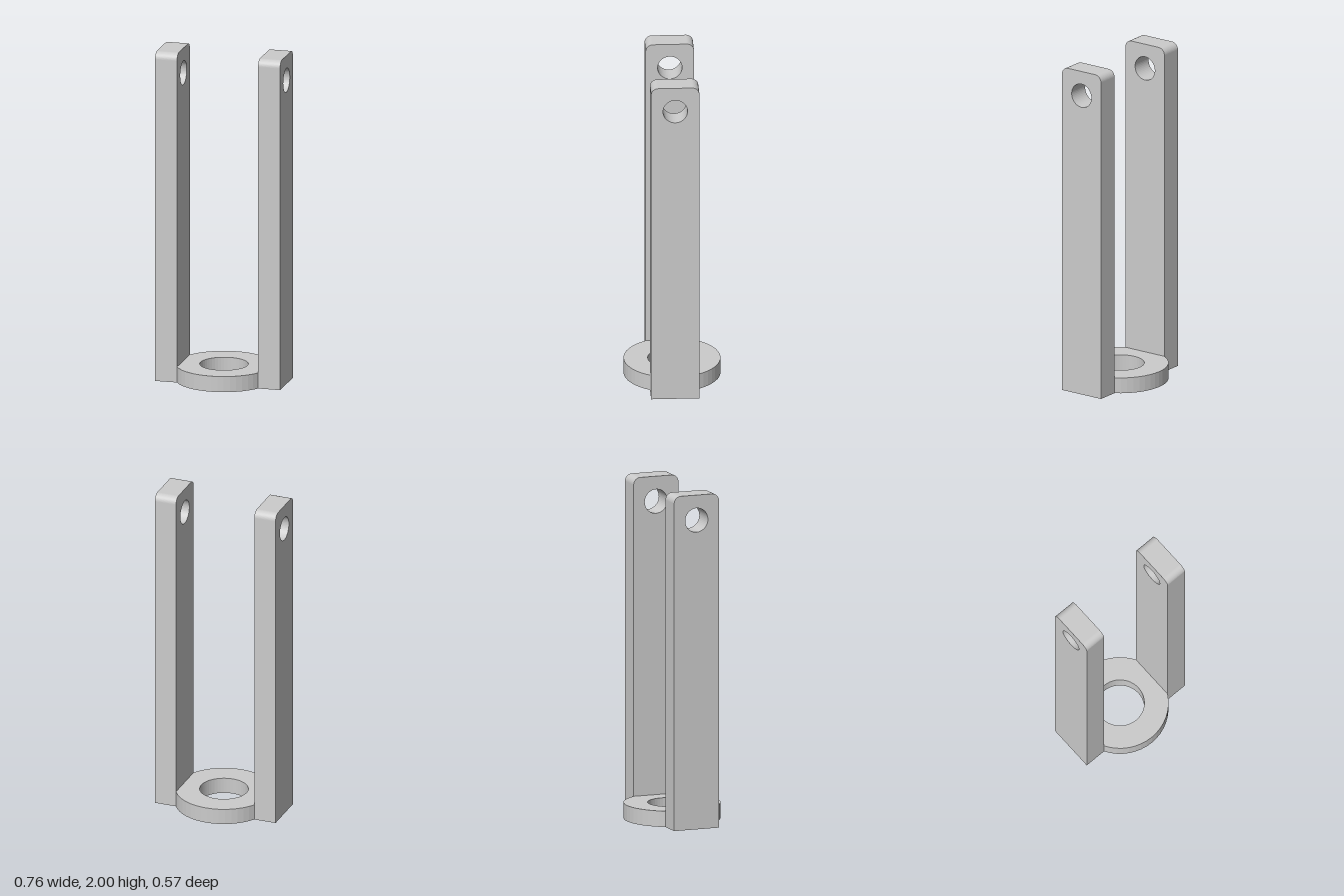
import * as THREE from 'three';

const RING_R = 0.285, BORE_R = 0.143, RING_H = 0.095;
const ARM_IN = 0.247, ARM_OUT = 0.381, ARM_HALF = 0.142, ARM_H = 2;
const CORNER = 0.042, PIN_Y = 1.85, PIN_R = 0.072;

// Round hole made of three arcs
function roundHole(x, y, r) {
  const hole = new THREE.Path();
  const third = (Math.PI * 2) / 3;
  for (let i = 0; i < 3; i++) hole.absarc(x, y, r, i * third, (i + 1) * third, false);
  return hole;
}

function extrude(shape, depth) {
  return new THREE.ExtrudeGeometry(shape, { depth, bevelEnabled: false, curveSegments: 8 });
}

export function createModel() {
  const model = new THREE.Group();
  model.name = 'forkBracket';
  const material = new THREE.MeshStandardMaterial({ color: 0xcccccc });

  // Base ring, cut flat where the arms join it
  const a = Math.acos(ARM_IN / RING_R);
  const ringShape = new THREE.Shape();
  ringShape.absarc(0, 0, RING_R, a, Math.PI - a, false);
  ringShape.absarc(0, 0, RING_R, Math.PI + a, Math.PI * 2 - a, false);
  ringShape.closePath();
  ringShape.holes.push(roundHole(0, 0, BORE_R));
  const ring = new THREE.Mesh(extrude(ringShape, RING_H).rotateX(-Math.PI / 2), material);
  ring.name = 'baseRing';
  model.add(ring);

  // Upright arm: rounded top corners and a pin hole
  const armShape = new THREE.Shape();
  armShape.moveTo(-ARM_HALF, 0);
  armShape.lineTo(ARM_HALF, 0);
  armShape.lineTo(ARM_HALF, ARM_H - CORNER);
  armShape.absarc(ARM_HALF - CORNER, ARM_H - CORNER, CORNER, 0, Math.PI / 2, false);
  armShape.absarc(-ARM_HALF + CORNER, ARM_H - CORNER, CORNER, Math.PI / 2, Math.PI, false);
  armShape.closePath();
  armShape.holes.push(roundHole(0, PIN_Y, PIN_R));
  const armGeometry = extrude(armShape, ARM_OUT - ARM_IN).rotateY(Math.PI / 2);

  for (const [name, x] of [['leftArm', ARM_IN], ['rightArm', -ARM_OUT]]) {
    const arm = new THREE.Mesh(armGeometry, material);
    arm.name = name;
    arm.position.x = x;
    model.add(arm);
  }
  return model;
}
